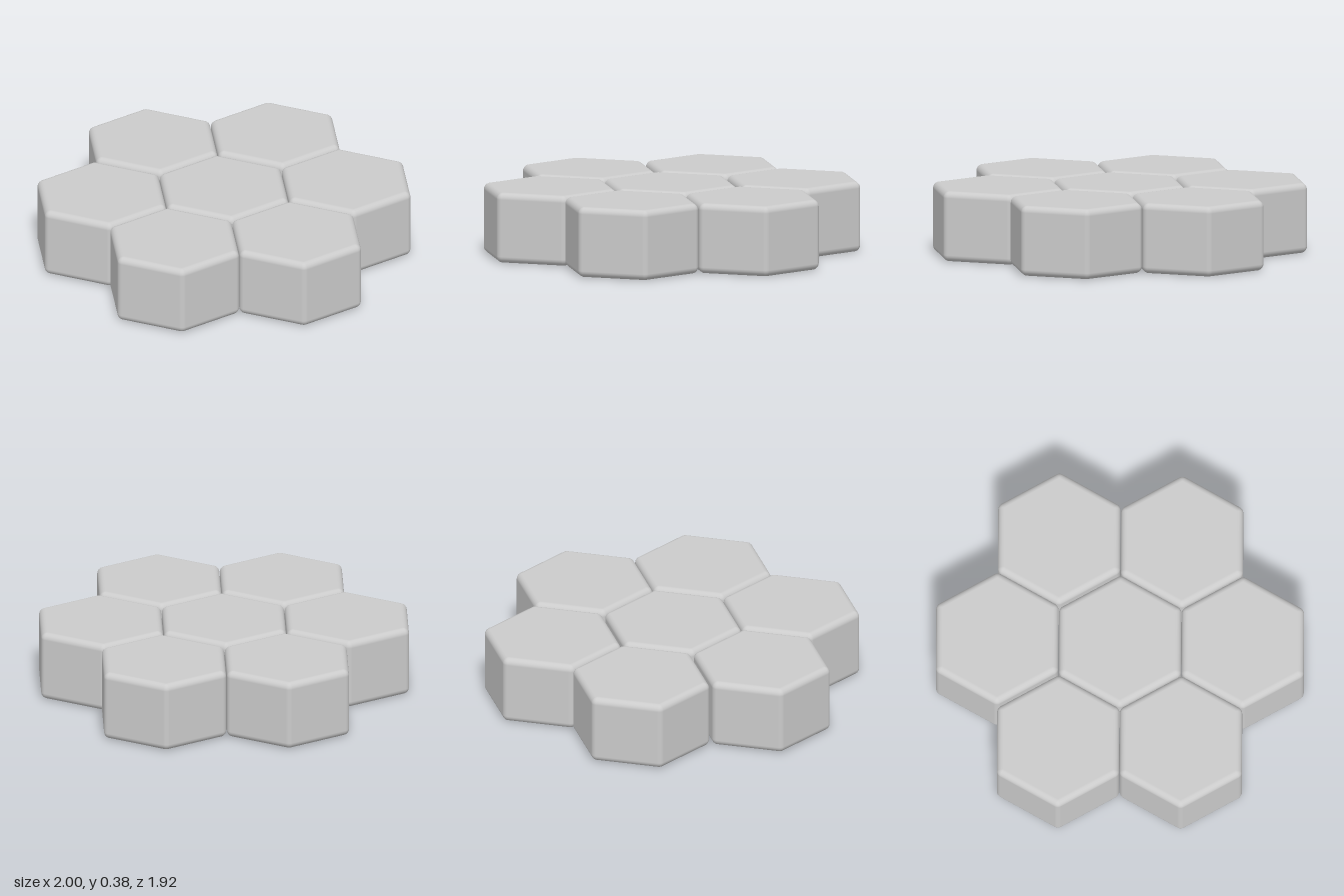
import * as THREE from 'three';

const HEIGHT = 0.385;
const APOTHEM = 0.332; // centre to flat side
const ROUND = 0.036; // radius of every edge and corner
const STEPS = 5;

// Hexagonal prism with rounded edges, built from stacked rings; corners point to +z and -z
function roundedHexGeometry() {
  const core = (APOTHEM - ROUND) / Math.cos(Math.PI / 6);

  // Each ring: how far out the core corners sit, angle on the rounding, height of the rounding centre
  const rings = [[0, 0, HEIGHT - ROUND]];
  for (let i = 0; i <= STEPS; i++) rings.push([core, (i / STEPS) * Math.PI / 2, HEIGHT - ROUND]);
  for (let i = 0; i <= STEPS; i++) rings.push([core, (1 + i / STEPS) * Math.PI / 2, ROUND]);
  rings.push([0, Math.PI, ROUND]);

  const positions = [], normals = [], indices = [];
  const columns = 6 * (STEPS + 1);
  rings.forEach(([reach, phi, y], row) => {
    for (let corner = 0; corner < 6; corner++) {
      const mid = corner * Math.PI / 3;
      for (let j = 0; j <= STEPS; j++) {
        const t = mid + (j / STEPS - 0.5) * Math.PI / 3;
        const n = [Math.sin(phi) * Math.sin(t), Math.cos(phi), Math.sin(phi) * Math.cos(t)];
        normals.push(...n);
        positions.push(
          reach * Math.sin(mid) + ROUND * n[0],
          y + ROUND * n[1],
          reach * Math.cos(mid) + ROUND * n[2]
        );
      }
    }
    if (row === rings.length - 1) return;
    for (let c = 0; c < columns; c++) {
      const a = row * columns + c;
      const b = row * columns + (c + 1) % columns;
      indices.push(a, a + columns, b, b, a + columns, b + columns);
    }
  });

  const geometry = new THREE.BufferGeometry();
  geometry.setAttribute('position', new THREE.Float32BufferAttribute(positions, 3));
  geometry.setAttribute('normal', new THREE.Float32BufferAttribute(normals, 3));
  geometry.setIndex(indices);
  return geometry;
}

export function createModel() {
  const model = new THREE.Group();
  model.name = 'hexTileCluster';
  const material = new THREE.MeshStandardMaterial({ color: 0xcccccc });
  const geometry = roundedHexGeometry();

  // Tile centres: one in the middle, six around it, the back pair slightly shifted
  const tiles = {
    centreTile: [0, 0],
    rightTile: [-0.667, 0],
    leftTile: [0.667, 0],
    frontRightTile: [-0.335, 0.578],
    frontLeftTile: [0.331, 0.578],
    backRightTile: [-0.321, -0.585],
    backLeftTile: [0.346, -0.585],
  };
  for (const [name, [x, z]] of Object.entries(tiles)) {
    const tile = new THREE.Mesh(geometry, material);
    tile.name = name;
    tile.position.set(x, 0, z);
    model.add(tile);
  }
  return model;
}
